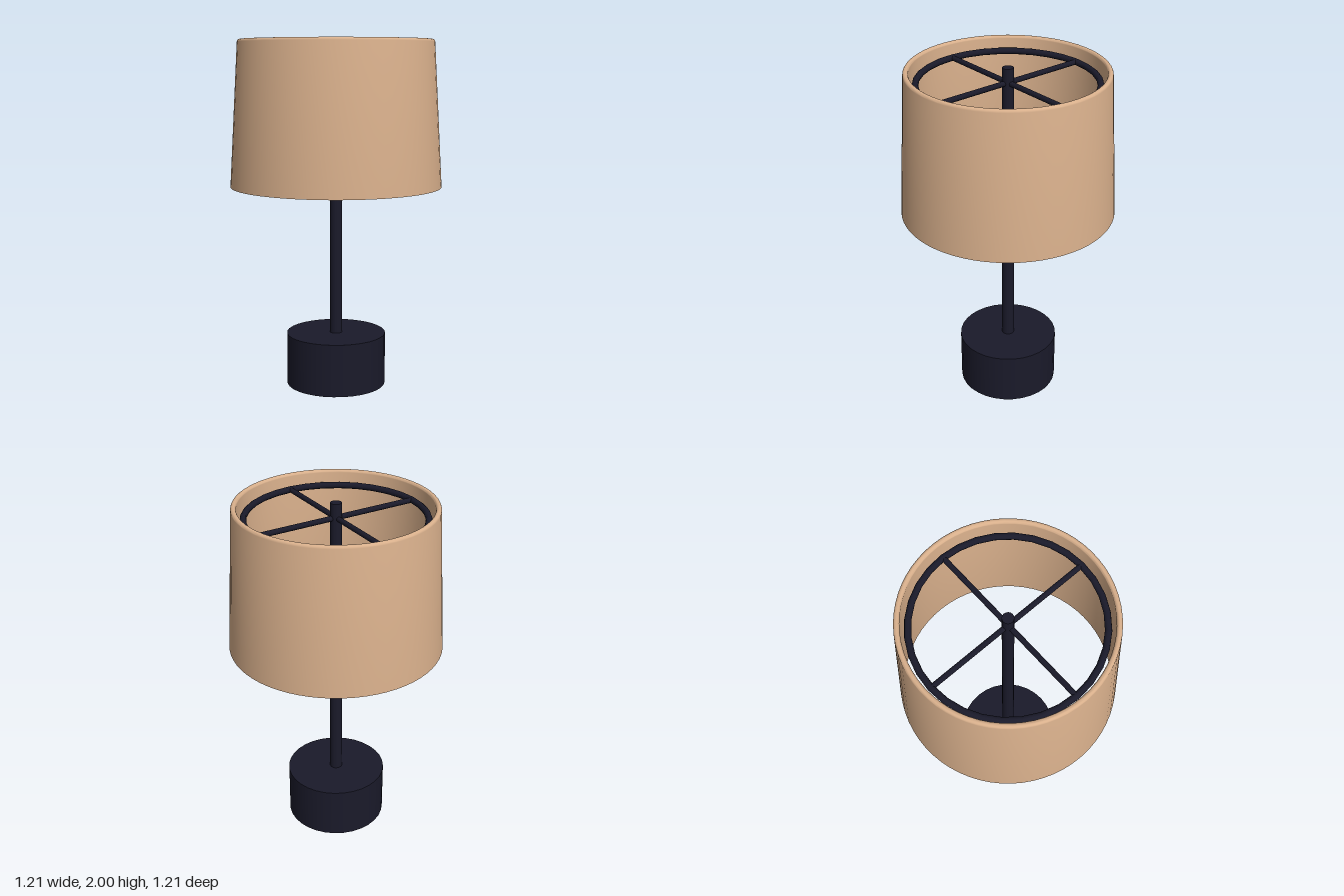
import * as THREE from 'three';
import { toCreasedNormals } from 'three/addons/utils/BufferGeometryUtils.js';

const metal = new THREE.MeshStandardMaterial({ color: 0x1a1a2a });
const fabric = new THREE.MeshStandardMaterial({ color: 0xd9b08c, side: THREE.DoubleSide });

export function createModel() {
  const lamp = new THREE.Group();
  lamp.name = 'tableLamp';
  const add = (name, geometry, material, y, parent = lamp) => {
    const mesh = new THREE.Mesh(geometry, material);
    mesh.name = name;
    mesh.position.y = y;
    parent.add(mesh);
    return mesh;
  };

  // Heavy drum base and slightly tapered post
  add('base', new THREE.CylinderGeometry(0.287, 0.287, 0.302, 32), metal, 0.151);
  add('post', new THREE.CylinderGeometry(0.031, 0.036, 1.7, 16), metal, 1.15);

  // Tapered shade wall with a flat lower edge and a rounded upper rim
  const profile = [[0.577, 1.165], [0.603, 1.165], [0.555, 1.978]];
  for (let i = 1; i <= 8; i++) {
    const a = (i / 8) * Math.PI;
    profile.push([0.54 + 0.015 * Math.cos(a), 1.978 + 0.015 * Math.sin(a)]);
  }
  profile.push([0.577, 1.165]);
  const wall = new THREE.LatheGeometry(profile.map(([r, y]) => new THREE.Vector2(r, y)), 64);
  add('shade', toCreasedNormals(wall, 0.6), fabric, 0);

  // Support ring with four spokes reaching out from the post
  const frame = new THREE.Group();
  frame.name = 'shadeFrame';
  frame.position.y = 1.915;
  lamp.add(frame);
  add('frameRing', new THREE.TorusGeometry(0.492, 0.018, 10, 32).rotateX(Math.PI / 2), metal, 0, frame);
  for (let i = 0; i < 4; i++) {
    const spoke = new THREE.CylinderGeometry(0.015, 0.015, 0.49, 10).rotateZ(Math.PI / 2).translate(0.245, 0, 0);
    add('frameSpoke', spoke, metal, 0, frame).rotation.y = (i * Math.PI) / 2;
  }
  return lamp;
}
